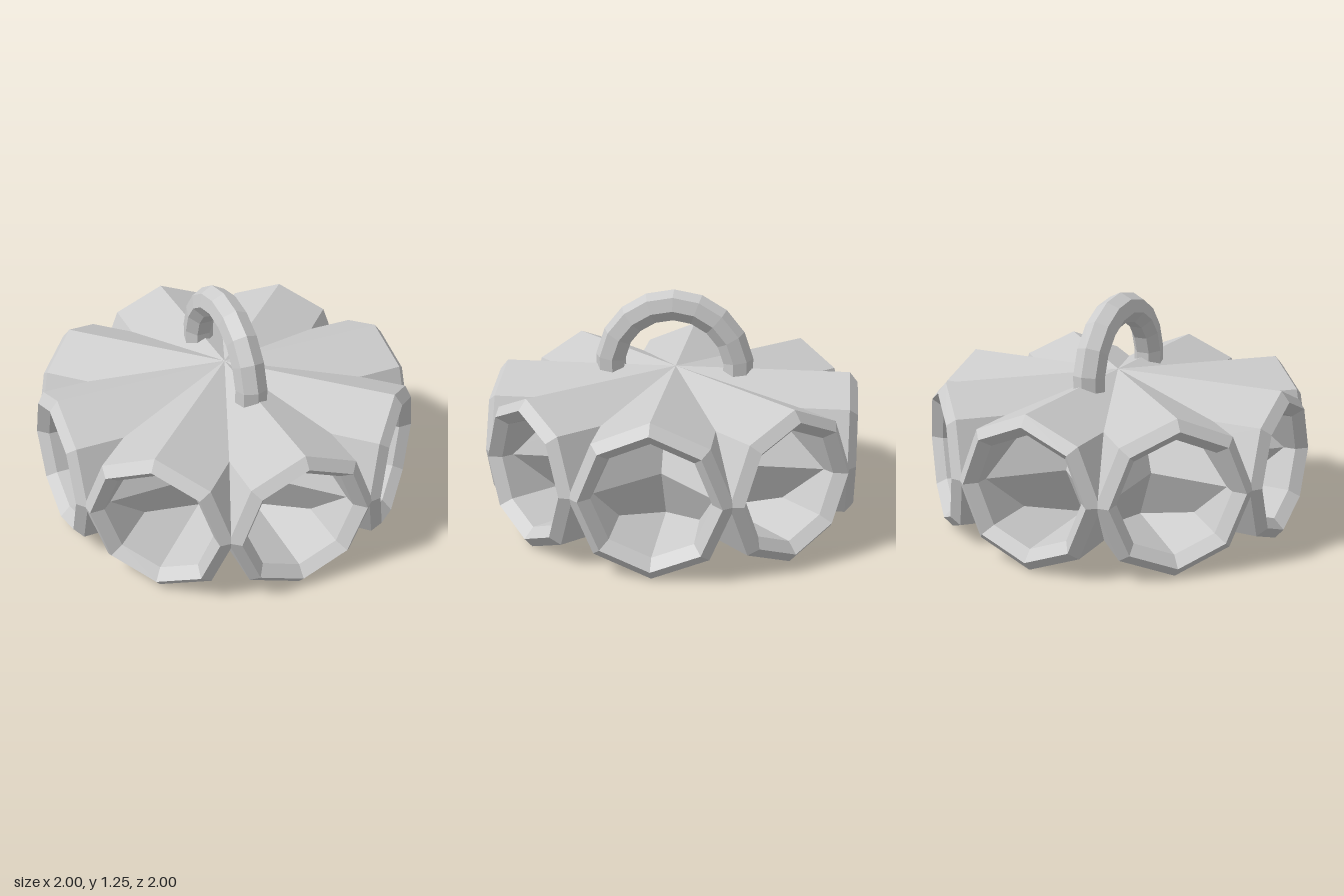
import * as THREE from 'three';

const material = new THREE.MeshStandardMaterial({ color: 0xcccccc, flatShading: true, side: THREE.DoubleSide });
const AXIS_Y = 0.415;

// Octagonal hollow barrel: outer wall, bevelled rim, then back down the bore
function barrelGeometry() {
  const profile = [[0.41, 0], [0.41, 0.955], [0.355, 1], [0.3, 0.945], [0.29, 0.3]]
    .map(([r, y]) => new THREE.Vector2(r, y));
  const g = new THREE.LatheGeometry(profile, 8);
  g.rotateX(Math.PI / 2); // point the mouth towards +z
  return g;
}

// Faceted carrying loop standing in the y-z plane, its feet sunk into the hub
function handleGeometry() {
  const sink = 0.2;
  const g = new THREE.TorusGeometry(0.358, 0.086, 7, 10, Math.PI + 2 * sink);
  g.rotateZ(-sink);
  g.rotateY(Math.PI / 2);
  return g;
}

export function createModel() {
  const model = new THREE.Group();
  model.name = 'barrelCluster';

  // Eight barrels radiating from the centre; each bore ends at its neighbours' walls
  const barrel = barrelGeometry();
  for (let i = 0; i < 8; i++) {
    const mesh = new THREE.Mesh(barrel, material);
    mesh.name = `barrel${i + 1}`;
    mesh.position.y = AXIS_Y;
    mesh.rotation.y = (i * Math.PI) / 4;
    model.add(mesh);
  }

  // Handle on top
  const handle = new THREE.Mesh(handleGeometry(), material);
  handle.name = 'handle';
  handle.position.set(-0.01, 0.81, 0.01);
  model.add(handle);

  return model;
}
